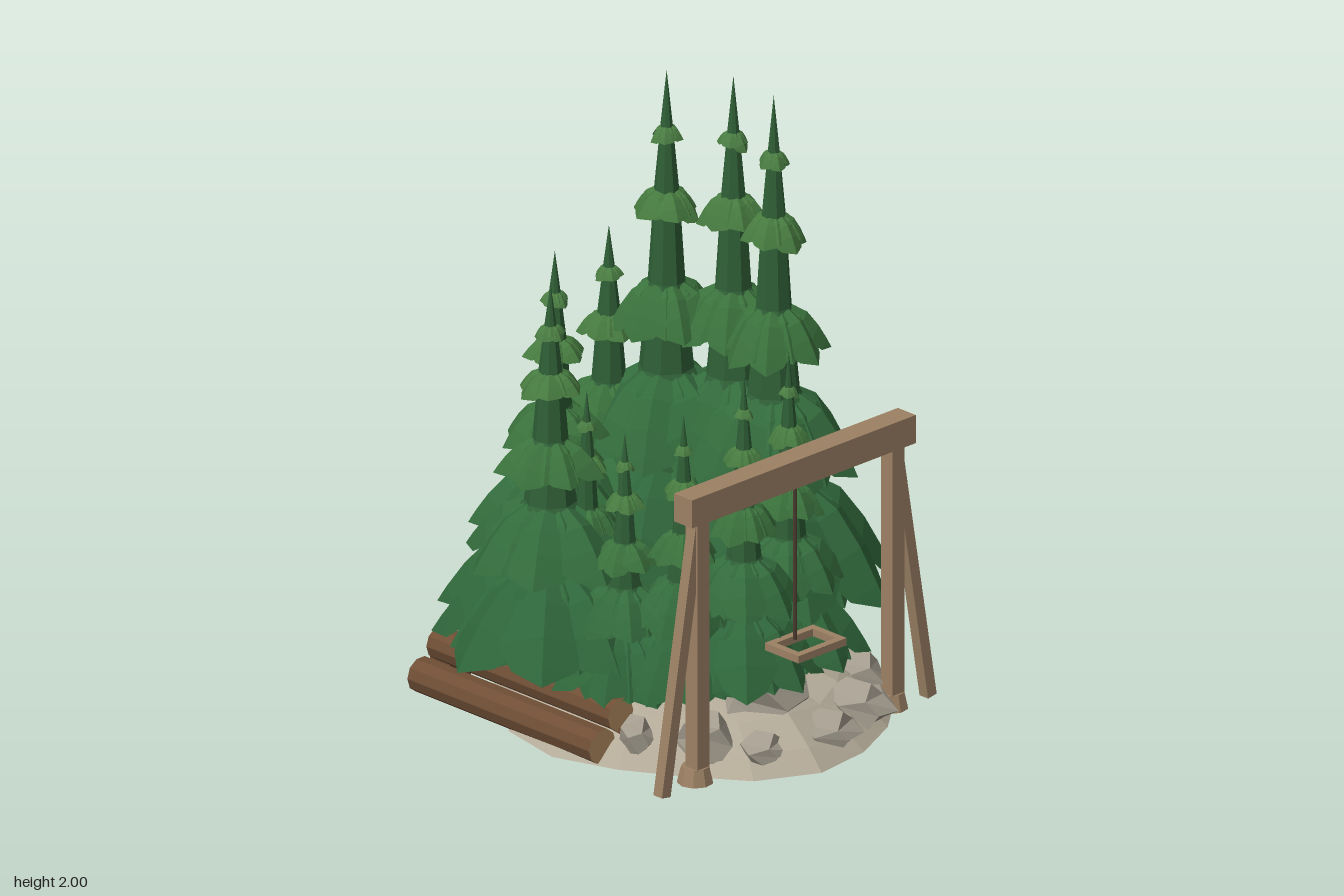
import * as THREE from 'three';
import { mergeGeometries } from 'three/addons/utils/BufferGeometryUtils.js';

const mat = (color) => new THREE.MeshStandardMaterial({ color, flatShading: true, side: THREE.DoubleSide });
const wood = mat(0x9c8164), bark = mat(0x6f4e35), trunkMat = mat(0x6b4a34), cutWood = mat(0xb08a5e);
const groundMat = mat(0xb3aa98), rockMat = mat(0xa39c8e), rope = mat(0x4a3a2e);
const coreMat = mat(0x2f5f36);
const leafMats = [0x2f663a, 0x336b3c, 0x3a713c, 0x467a3f, 0x4a7d42].map(mat);

let seed = 7;
const rnd = () => (seed = (seed * 16807) % 2147483647) / 2147483647;

function add(parent, name, geo, material, x = 0, y = 0, z = 0) {
  const m = new THREE.Mesh(geo, material);
  m.name = name;
  m.position.set(x, y, z);
  parent.add(m);
  return m;
}

// straight bar between two points
function bar(parent, name, a, b, w, material, sides = 4) {
  const p = new THREE.Vector3(...a), q = new THREE.Vector3(...b);
  const geo = new THREE.CylinderGeometry(w, w, p.distanceTo(q), sides);
  geo.rotateY(Math.PI / sides);
  const m = add(parent, name, geo, material);
  m.position.copy(p).add(q).multiplyScalar(0.5);
  m.quaternion.setFromUnitVectors(new THREE.Vector3(0, 1, 0), q.sub(p).normalize());
}

// one broad, drooping leaf: rows of three points with a raised midrib
function leaf(r0, y0, r1, y1, halfWidth) {
  const rows = [[0, 0.4], [0.32, 0.85], [0.62, 1], [0.86, 0.66], [1, 0]];
  const pos = [], idx = [];
  for (const [t, w] of rows) {
    const r = r0 + (r1 - r0) * Math.pow(t, 0.85);
    const y = y0 + (y1 - y0) * Math.pow(t, 1.5);
    for (const s of [-1, 0, 1]) {
      const drop = Math.abs(s) * w * halfWidth * 0.4;
      pos.push(r - drop, y - drop * 0.8, s * w * halfWidth);
    }
  }
  for (let i = 0; i < rows.length - 1; i++) for (let j = 0; j < 2; j++) {
    const a = i * 3 + j;
    idx.push(a, a + 1, a + 3, a + 1, a + 4, a + 3);
  }
  const g = new THREE.BufferGeometry();
  g.setAttribute('position', new THREE.Float32BufferAttribute(pos, 3));
  g.setIndex(idx);
  return g;
}

// tier: [top radius, top height, tip radius, tip height, leaf count], as fractions
const tiers = [
  [0.3, 0.355, 1.0, 0.175, 8],
  [0.22, 0.5, 0.73, 0.365, 7],
  [0.15, 0.645, 0.46, 0.565, 7],
  [0.1, 0.8, 0.28, 0.755, 6],
  [0.05, 0.906, 0.13, 0.88, 5],
];

function tree(x, z, height, radius) {
  const g = new THREE.Group();
  g.name = 'pineTree';
  g.position.set(x, 0, z);
  g.rotation.y = rnd() * Math.PI * 2;
  const profile = [[0.05, 0.29], [0.45, 0.29], [0.32, 0.355], [0.22, 0.5], [0.36, 0.45], [0.22, 0.5], [0.15, 0.645],
    [0.23, 0.61], [0.15, 0.645], [0.1, 0.8], [0.05, 0.906], [0, 1]];
  add(g, 'core', new THREE.LatheGeometry(
    profile.map(([r, y]) => new THREE.Vector2(r * radius, y * height)), 8), coreMat);
  const tr = 0.02 + radius * 0.05;
  add(g, 'trunk', new THREE.CylinderGeometry(tr * 0.8, tr, height * 0.34, 8), trunkMat, 0, height * 0.17 + 0.03, 0);
  // earth heaped around the trunk
  const heap = [[0.42, 0.05], [0.25, height * 0.09], [0.1, height * 0.15]].map(([r, y]) => new THREE.Vector2(r * radius, y));
  add(g, 'rootMound', new THREE.LatheGeometry(heap, 12), groundMat);
  tiers.forEach(([r0, y0, r1, y1, n], k) => {
    const parts = [];
    // two staggered layers, the inner one shorter
    for (let i = 0; i < n * 2; i++) {
      const inner = i % 2;
      const R = r1 * radius * (inner ? 0.86 : 0.97 + rnd() * 0.08);
      const tip = (y1 + (inner ? 0.008 : (rnd() - 0.5) * 0.015)) * height;
      const l = leaf(r0 * radius * (inner ? 0.85 : 1), y0 * height, R, tip, R * Math.tan(Math.PI / n) * 0.92);
      l.rotateY(((i + (rnd() - 0.5) * 0.5) / (n * 2)) * Math.PI * 2 + k * 0.5);
      parts.push(l);
    }
    add(g, 'leafTier', mergeGeometries(parts), leafMats[k]);
  });
  return g;
}

// angular stone with corners moved by a smooth rule
function rock(parent, x, y, z, sx, sy, sz) {
  const geo = new THREE.DodecahedronGeometry(1, 0);
  const p = geo.attributes.position, s = 1 + rnd() * 3;
  for (let i = 0; i < p.count; i++) {
    const f = 1 + 0.16 * Math.sin(p.getX(i) * 3 * s + p.getY(i) * 5 + p.getZ(i) * 2 * s);
    p.setXYZ(i, p.getX(i) * f * sx, p.getY(i) * f * sy, p.getZ(i) * f * sz);
  }
  add(parent, 'rock', geo, rockMat, x, y, z).rotation.y = rnd() * 0.6;
}

function log(parent, x0, x1, y, z, r) {
  const body = new THREE.CylinderGeometry(r, r, x1 - x0, 10, 1, true).rotateZ(Math.PI / 2);
  add(parent, 'logBark', body, bark, (x0 + x1) / 2, y, z);
  for (const s of [-1, 1]) {
    const cap = new THREE.CircleGeometry(r, 10).rotateY(s * Math.PI / 2);
    add(parent, 'logEnd', cap, cutWood, s > 0 ? x1 : x0, y, z);
  }
}

export function createModel() {
  const model = new THREE.Group();
  model.name = 'pineGrove';

  // open mound of earth with an uneven rim, rising to a peak
  const mound = new THREE.LatheGeometry(
    [[1, 0.012], [0.9, 0.07], [0.74, 0.14], [0.5, 0.2], [0.25, 0.3], [0, 0.38]].map((p) => new THREE.Vector2(...p)), 18);
  const mp = mound.attributes.position;
  for (let i = 0; i < mp.count; i++) {
    const a = Math.atan2(mp.getZ(i), mp.getX(i));
    const f = 1 + 0.03 * Math.sin(a * 5) + 0.03 * Math.cos(a * 3);
    mp.setXYZ(i, mp.getX(i) * 0.66 * f + 0.07, mp.getY(i) * (1 + 0.08 * Math.sin(a * 7)), mp.getZ(i) * 0.6 * f - 0.02);
  }
  add(model, 'ground', mound, groundMat);

  // rocks on the mound
  const rocks = new THREE.Group();
  rocks.name = 'rocks';
  model.add(rocks);
  [[0.12, 0.3, 0.02, 0.13, 0.12, 0.12], [0.42, 0.16, 0.01, 0.15, 0.12, 0.2], [0.28, 0.08, 0.43, 0.06, 0.08, 0.06],
    [0.46, 0.1, 0.3, 0.09, 0.1, 0.08], [0.58, 0.06, 0.17, 0.08, 0.06, 0.1], [0.62, 0.06, -0.08, 0.1, 0.07, 0.12],
    [0.56, 0.08, -0.26, 0.12, 0.08, 0.1], [0.42, 0.1, -0.4, 0.09, 0.08, 0.08],
  ].forEach((r) => rock(rocks, ...r));

  // pine trees: x, z, height, radius
  [[-0.07, -0.33, 2, 0.4], [0.13, -0.31, 2, 0.385], [-0.25, -0.215, 2, 0.4],
    [-0.4, -0.11, 1.46, 0.365], [-0.37, 0.155, 1.46, 0.365], [-0.19, 0.35, 1.46, 0.38],
    [0.33, -0.18, 1.23, 0.25], [0.36, 0.045, 1.23, 0.25], [0.24, 0.19, 1.1, 0.24],
    [0.08, 0.29, 1.02, 0.24], [-0.11, 0.27, 1.1, 0.24],
  ].forEach((t) => model.add(tree(...t)));

  // stacked logs and their supports
  const logs = new THREE.Group();
  logs.name = 'logPile';
  model.add(logs);
  log(logs, -0.59, 0.22, 0.07, 0.525, 0.058);
  log(logs, -0.59, 0.22, 0.155, 0.445, 0.055);
  for (const x of [-0.575, 0.225]) add(logs, 'logSupport', new THREE.BoxGeometry(0.09, 0.1, 0.09), bark, x, 0.062, 0.41);

  // swing frame: beam, posts, slanted braces and stump footings
  const frame = new THREE.Group();
  frame.name = 'swingFrame';
  model.add(frame);
  add(frame, 'beam', new THREE.BoxGeometry(0.08, 0.095, 0.975), wood, 0.535, 0.95, -0.007);
  for (const s of [-1, 1]) {
    const z = s * 0.425 - 0.007;
    add(frame, 'post', new THREE.BoxGeometry(0.052, 0.9, 0.052), wood, 0.535, 0.46, z);
    bar(frame, 'brace', [0.535, 0.9, z + s * 0.005], [0.535, 0.012, z + s * 0.155], 0.027, wood);
    add(frame, 'footing', new THREE.CylinderGeometry(0.045, 0.058, 0.055, 9), wood, 0.525, 0.04, z);
  }

  // hanging swing with an open rectangular seat
  const swing = new THREE.Group();
  swing.name = 'swing';
  model.add(swing);
  bar(swing, 'rope', [0.535, 0.92, -0.007], [0.535, 0.37, -0.007], 0.006, rope, 6);
  const rect = (w, h) => [[-w, -h], [w, -h], [w, h], [-w, h]].map((p) => new THREE.Vector2(...p));
  const seat = new THREE.Shape(rect(0.075, 0.105));
  seat.holes.push(new THREE.Path(rect(0.05, 0.08)));
  const seatGeo = new THREE.ExtrudeGeometry(seat, { depth: 0.025, bevelEnabled: false }).rotateX(-Math.PI / 2);
  add(swing, 'seat', seatGeo, wood, 0.58, 0.355, -0.01);

  return model;
}
